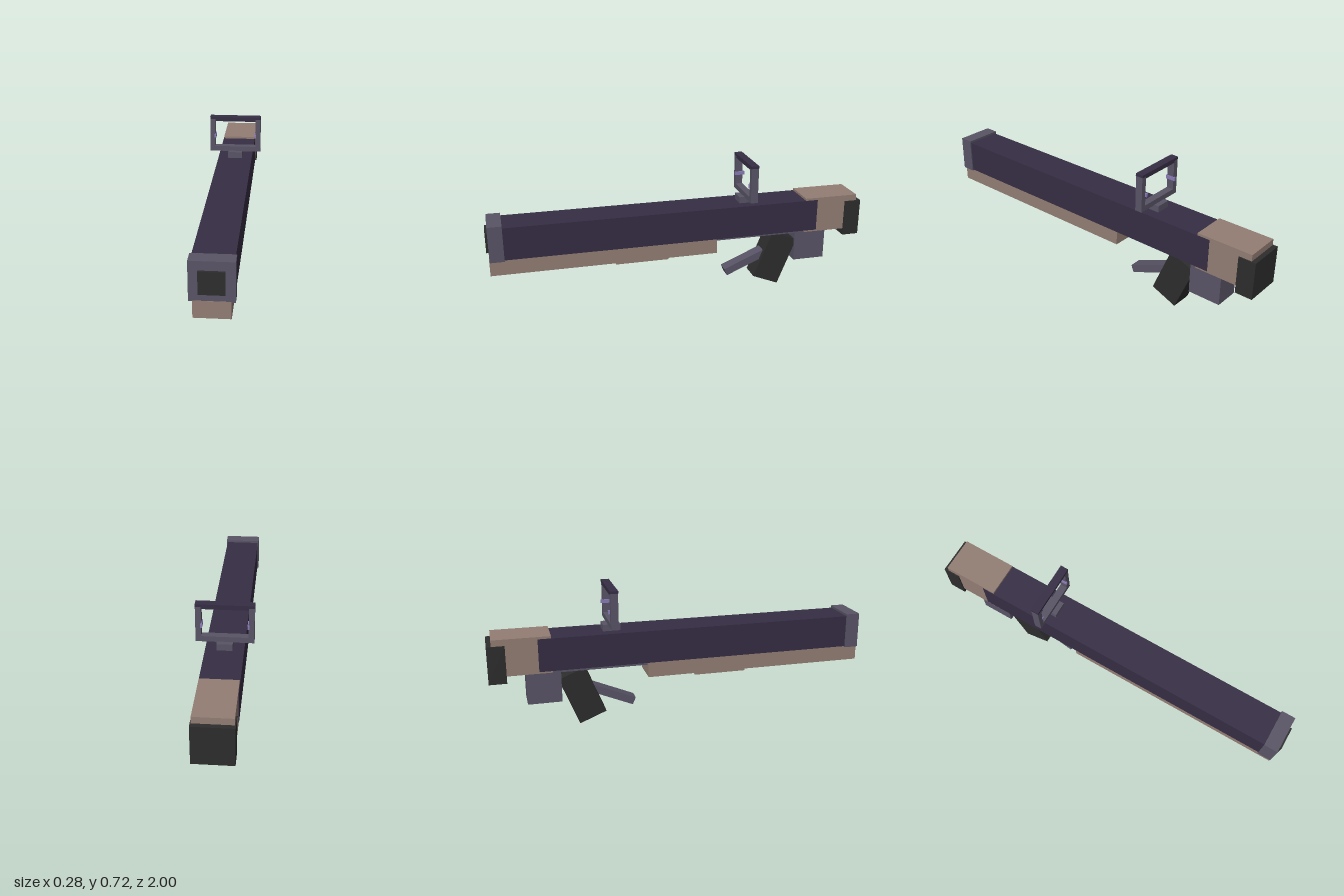
import * as THREE from 'three';

const material = (name, color) => {
  const m = new THREE.MeshStandardMaterial({ color });
  m.name = name;
  return m;
};

export function createModel() {
  const model = new THREE.Group();
  model.name = 'shoulderLauncher';

  const purple = material('dark purple', 0x362d44);
  const grey = material('slate grey', 0x595466);
  const tan = material('dusty tan', 0x937e74);
  const black = material('soft black', 0x2d2d2d);
  const lavender = material('lavender', 0x8a7cb8);

  // Box given by its x, y and z ranges
  const block = (name, mat, [x0, x1], [y0, y1], [z0, z1], parent = model) => {
    const mesh = new THREE.Mesh(new THREE.BoxGeometry(x1 - x0, y1 - y0, z1 - z0), mat);
    mesh.position.set((x0 + x1) / 2, (y0 + y1) / 2, (z0 + z1) / 2);
    mesh.name = name;
    parent.add(mesh);
    return mesh;
  };
  // Box centred on x = 0, given its half width
  const centred = (name, mat, half, y, z, parent) => block(name, mat, [-half, half], y, z, parent);

  // Main tube and muzzle
  centred('barrel', purple, 0.094, [0.315, 0.486], [-0.75, 0.93]);
  centred('muzzleCollar', grey, 0.1, [0.31, 0.498], [0.915, 0.988]);
  centred('muzzleBore', black, 0.058, [0.348, 0.455], [0.95, 1]);

  // Lower fore-end and rail
  centred('foreEnd', tan, 0.083, [0.232, 0.314], [-0.19, 0.99]);
  centred('foreEndPlate', tan, 0.053, [0.211, 0.24], [0.07, 0.35]);
  centred('lowerRail', grey, 0.06, [0.293, 0.325], [-0.68, -0.18]);

  // Stock, shoulder pad and rear box
  centred('stock', tan, 0.092, [0.306, 0.498], [-0.976, -0.683]);
  centred('shoulderPad', black, 0.097, [0.27, 0.465], [-1, -0.91]);
  centred('rearBox', grey, 0.067, [0.136, 0.315], [-0.815, -0.64]);

  // Slanted grip and trigger lever
  const grip = centred('grip', black, 0.056, [0.018, 0.29], [-0.609, -0.458]);
  grip.rotation.x = THREE.MathUtils.degToRad(-22);
  const lever = centred('triggerLever', grey, 0.033, [0.125, 0.166], [-0.547, -0.247]);
  lever.rotation.x = THREE.MathUtils.degToRad(23);

  // Frame sight on its mount
  const sight = new THREE.Group();
  sight.name = 'sight';
  model.add(sight);
  const depth = [-0.389, -0.351];
  centred('sightMount', grey, 0.039, [0.48, 0.52], [-0.415, -0.325], sight);
  centred('sightBase', grey, 0.141, [0.518, 0.546], depth, sight);
  centred('sightTopBar', purple, 0.141, [0.704, 0.717], [-0.391, -0.349], sight);
  centred('sightTopInner', purple, 0.113, [0.692, 0.704], depth, sight);
  for (const [side, s] of [['left', 1], ['right', -1]]) {
    const span = (a, b) => (s > 0 ? [a, b] : [-b, -a]);
    block(side + 'SightPost', grey, span(0.113, 0.141), [0.546, 0.704], depth, sight);
    block(side + 'SightPin', lavender, span(0.108, 0.117), [0.596, 0.615], [-0.399, -0.346], sight);
  }

  return model;
}
